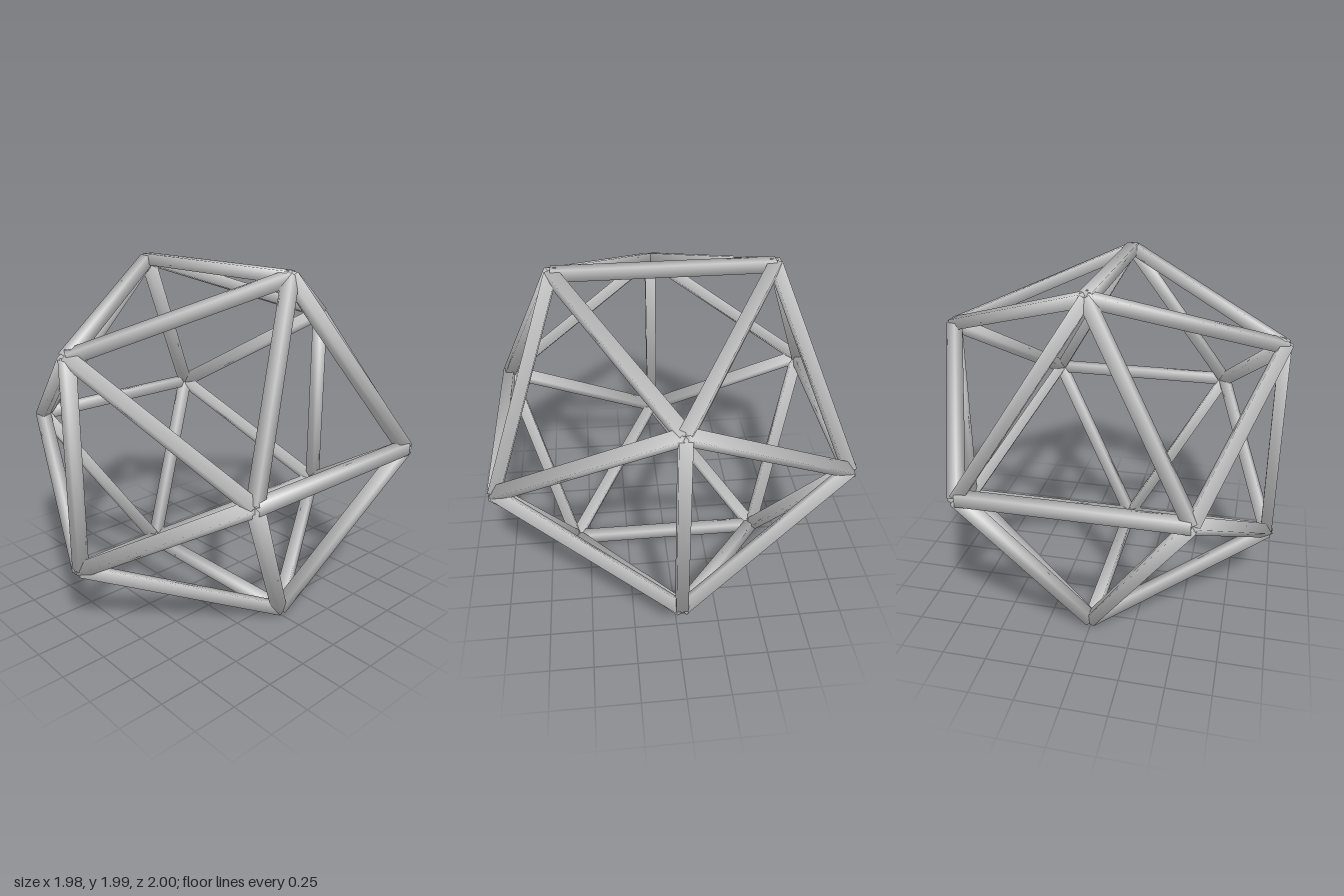
import * as THREE from 'three';

const LONG = 0.958;                           // corner offsets of the icosahedron
const SHORT = LONG * 2 / (1 + Math.sqrt(5));
const BAR = 0.066;                            // bar thickness
const EDGE = 2 * SHORT;
const CENTRE_Y = 0.995;

// Square bar with normals rounded over its shared corners
function barGeometry() {
  const geo = new THREE.BoxGeometry(EDGE, BAR, BAR);
  const pos = geo.attributes.position;
  const n = new THREE.Vector3();
  for (let i = 0; i < pos.count; i++) {
    n.set(Math.sign(pos.getX(i)), Math.sign(pos.getY(i)), Math.sign(pos.getZ(i))).normalize();
    geo.attributes.normal.setXYZ(i, n.x, n.y, n.z);
  }
  return geo;
}

// Twelve corners on three crossed golden rectangles
function corners() {
  const list = [];
  for (const s of [-1, 1]) {
    for (const l of [-1, 1]) {
      const a = s * SHORT, b = l * LONG;
      list.push(new THREE.Vector3(a, b, 0), new THREE.Vector3(0, a, b), new THREE.Vector3(b, 0, a));
    }
  }
  return list;
}

export function createModel() {
  const model = new THREE.Group();
  model.name = 'icosahedronFrame';
  const material = new THREE.MeshStandardMaterial({ color: 0xcccccc });
  const geo = barGeometry();
  const xAxis = new THREE.Vector3(1, 0, 0);
  const points = corners();

  // One bar along each of the thirty edges, two sides kept square to the x axis
  points.forEach((p, i) => {
    for (const q of points.slice(i + 1)) {
      if (p.distanceTo(q) > EDGE * 1.01) continue;
      const along = q.clone().sub(p).normalize();
      const across = new THREE.Vector3().crossVectors(xAxis, along);
      if (across.length() < 0.01) across.set(0, 0, 1);
      across.normalize();
      const out = new THREE.Vector3().crossVectors(along, across);
      const bar = new THREE.Mesh(geo, material);
      bar.name = 'edgeBar';
      bar.quaternion.setFromRotationMatrix(new THREE.Matrix4().makeBasis(along, across, out));
      bar.position.addVectors(p, q).multiplyScalar(0.5);
      bar.position.y += CENTRE_Y;
      model.add(bar);
    }
  });
  return model;
}
